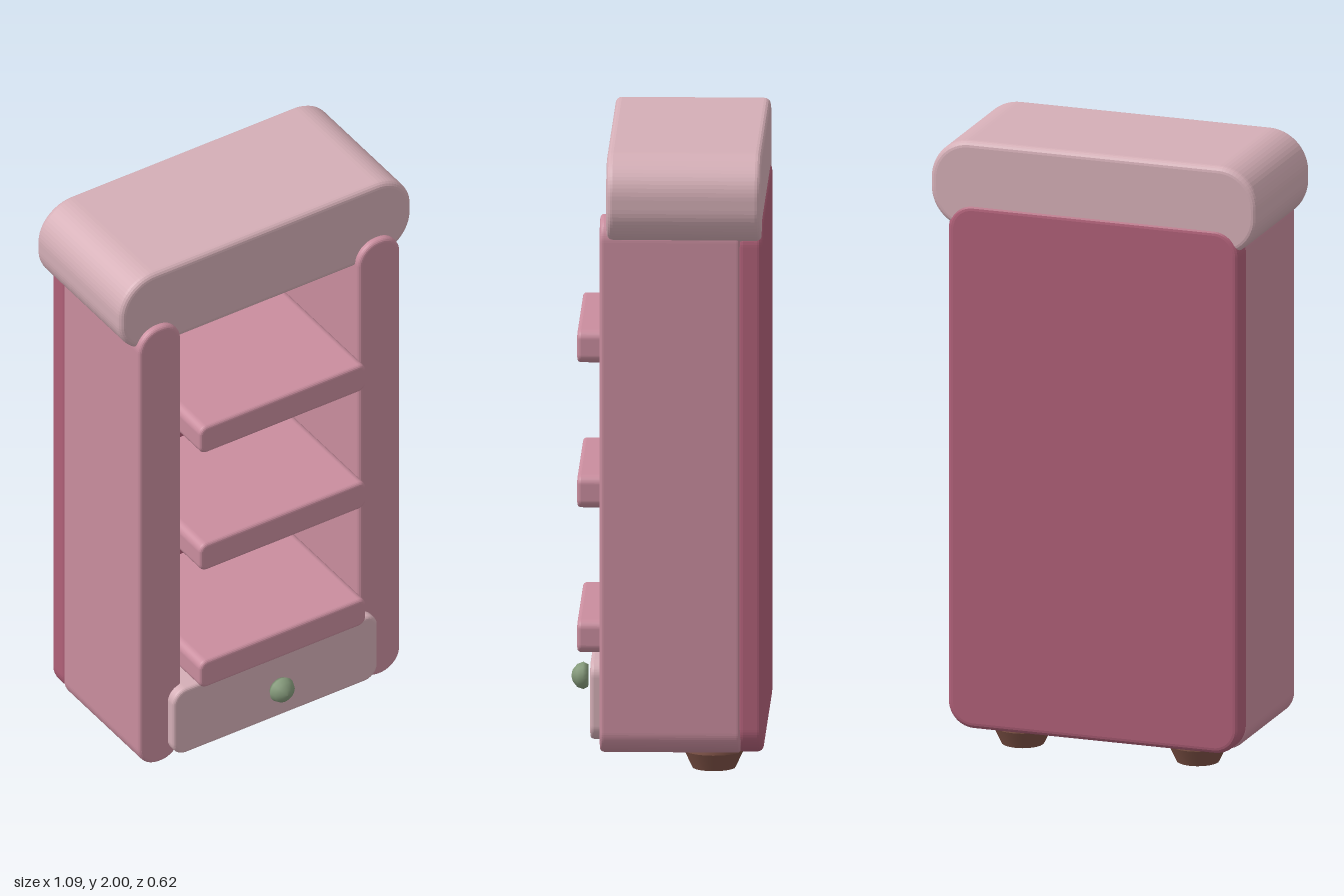
import * as THREE from 'three';

const mat = (color) => new THREE.MeshStandardMaterial({ color });
const PALE = mat(0xd4aeb6), PINK = mat(0xc98d9e), ROSE = mat(0xb06078);
const WOOD = mat(0x7d5145), GREEN = mat(0x84997a);

// Board with rounded corners in the x/y plane and softly bevelled front and back edges
function board(name, material, [x0, x1], [y0, y1], [z0, z1], radius, bevel) {
  const l = x0 + bevel, r = x1 - bevel, b = y0 + bevel, t = y1 - bevel;
  const c = radius - bevel;
  const s = new THREE.Shape();
  s.absarc(r - c, t - c, c, 0, Math.PI / 2);
  s.absarc(l + c, t - c, c, Math.PI / 2, Math.PI);
  s.absarc(l + c, b + c, c, Math.PI, Math.PI * 1.5);
  s.absarc(r - c, b + c, c, Math.PI * 1.5, Math.PI * 2);
  const geo = new THREE.ExtrudeGeometry(s, {
    depth: z1 - z0 - 2 * bevel, curveSegments: 8,
    bevelThickness: bevel, bevelSize: bevel, bevelSegments: 4,
  });
  geo.translate(0, 0, z0 + bevel);
  const mesh = new THREE.Mesh(geo, material);
  mesh.name = name;
  return mesh;
}

function turned(name, material, profile, sides) {
  const points = profile.map(([r, y]) => new THREE.Vector2(r, y));
  const mesh = new THREE.Mesh(new THREE.LatheGeometry(points, sides), material);
  mesh.name = name;
  return mesh;
}

export function createModel() {
  const model = new THREE.Group();
  model.name = 'bookcase';

  // Carcass: top, back and two sides
  model.add(board('top', PALE, [-0.547, 0.547], [1.71, 2], [-0.306, 0.182], 0.13, 0.02));
  model.add(board('backPanel', ROSE, [-0.488, 0.488], [0.075, 1.795], [-0.311, -0.228], 0.085, 0.02));
  model.add(board('leftSide', PINK, [0.333, 0.49], [0.073, 1.797], [-0.24, 0.204], 0.075, 0.013));
  model.add(board('rightSide', PINK, [-0.49, -0.333], [0.073, 1.797], [-0.24, 0.204], 0.075, 0.013));

  // Shelves
  for (const y of [0.365, 0.83, 1.296]) {
    model.add(board('shelf', PINK, [-0.312, 0.312], [y, y + 0.105], [-0.24, 0.28], 0.028, 0.012));
  }

  // Drawer and its knob
  model.add(board('drawer', PALE, [-0.384, 0.384], [0.097, 0.352], [-0.24, 0.237], 0.05, 0.012));
  const knob = turned('drawerKnob', GREEN,
    [[0, 0], [0.036, 0], [0.044, 0.015], [0.037, 0.034], [0.018, 0.049], [0, 0.053]], 16);
  knob.rotation.x = Math.PI / 2;
  knob.position.set(0, 0.23, 0.255);
  model.add(knob);

  // Tapered feet
  for (const side of [-1, 1]) {
    const foot = turned('foot', WOOD,
      [[0, 0], [0.068, 0], [0.068, 0], [0.094, 0.055], [0.094, 0.055], [0.088, 0.11], [0, 0.11]], 20);
    foot.position.set(side * 0.293, 0, -0.15);
    model.add(foot);
  }
  return model;
}
